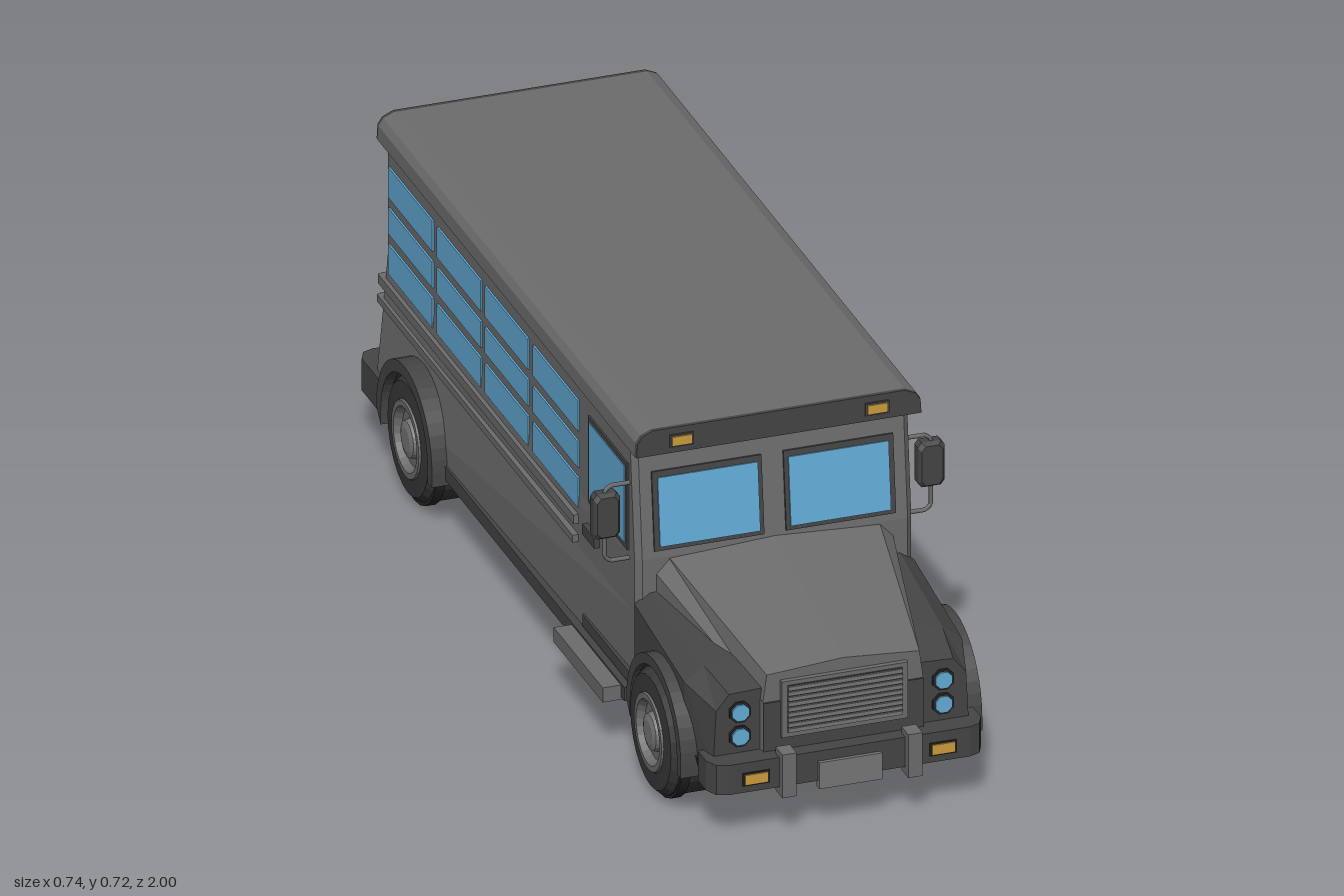
import * as THREE from 'three';

const mat = (name, color) => {
  const m = new THREE.MeshStandardMaterial({ color });
  m.name = name;
  return m;
};

export function createModel() {
  const body = mat('body grey', 0x6c6c6c), dark = mat('dark trim', 0x454545);
  const black = mat('underbody black', 0x262626), tyreMat = mat('tyre', 0x393939);
  const glass = mat('window blue', 0x62acd6), amber = mat('amber', 0xcc9d3c);
  const red = mat('red lens', 0xb01c24), metal = mat('light metal', 0x777777);
  const root = new THREE.Group();

  const add = (name, geo, material, parent = root) => {
    const m = new THREE.Mesh(geo, material);
    m.name = name;
    parent.add(m);
    return m;
  };
  const box = (name, material, w, h, d, x, y, z, parent = root) => {
    const m = add(name, new THREE.BoxGeometry(w, h, d), material, parent);
    m.position.set(x, y, z);
    return m;
  };
  // Box given by its limits on each axis
  const span = (name, material, x0, x1, y0, y1, z0, z1, parent = root) =>
    box(name, material, Math.abs(x1 - x0), y1 - y0, Math.abs(z1 - z0), (x0 + x1) / 2, (y0 + y1) / 2, (z0 + z1) / 2, parent);

  // Flat-faced skin over convex rings, always wound outwards
  const loft = (rings) => {
    const tris = [], n = rings[0].length;
    for (let k = 0; k < rings.length - 1; k++) {
      const a = rings[k], b = rings[k + 1];
      for (let i = 0; i < n; i++) {
        const j = (i + 1) % n;
        tris.push([a[i], a[j], b[j]], [a[i], b[j], b[i]]);
      }
    }
    const first = rings[0], last = rings[rings.length - 1];
    for (let i = 1; i < n - 1; i++) tris.push([first[0], first[i + 1], first[i]], [last[0], last[i], last[i + 1]]);
    const v = (p) => new THREE.Vector3(...p);
    const centre = v(first[0]);
    let volume = 0;
    for (const [p, q, r] of tris) volume += v(p).sub(centre).dot(v(q).sub(centre).cross(v(r).sub(centre)));
    const pos = tris.flatMap(([p, q, r]) => (volume < 0 ? [p, r, q] : [p, q, r])).flat();
    const g = new THREE.BufferGeometry();
    g.setAttribute('position', new THREE.Float32BufferAttribute(pos, 3));
    g.computeVertexNormals();
    return g;
  };
  const alongZ = (pts, z) => pts.map(([x, y]) => [x, y, z]);
  const mirrored = (half) => [...half, ...half.filter((p) => p[0] > 0).reverse().map(([x, y]) => [-x, y])];

  // Main body with bevelled corners, flaring towards the lower rear
  const plan = (y, front, rear, wf, wr, c = 0.012) => [
    [-wf + c, y, front], [wf - c, y, front], [wf, y, front - c], [wr, y, rear + c],
    [wr - c, y, rear], [-wr + c, y, rear], [-wr, y, rear + c], [-wf, y, front - c]];
  add('body', loft([
    plan(0.14, 0.55, -0.905, 0.29, 0.315), plan(0.3, 0.55, -0.905, 0.29, 0.3),
    plan(0.42, 0.55, -0.905, 0.29, 0.29), plan(0.66, 0.525, -0.905, 0.29, 0.29)]), body);
  add('underbody', loft([
    plan(0.1, 0.9, -0.9, 0.275, 0.3), plan(0.145, 0.9, -0.9, 0.285, 0.312)]), black);

  // Roof and its dark end caps
  const roofHalf = [[0.3, 0.66], [0.298, 0.69], [0.288, 0.705], [0.265, 0.715]];
  const roofRing = mirrored(roofHalf);
  add('roof', loft([alongZ(roofRing, -0.925), alongZ(roofRing, 0.565)]), body);
  for (const s of [1, -1]) {
    const z = s > 0 ? 0.565 : -0.925;
    add('roofEndCap', loft([alongZ(roofRing, z), alongZ(roofRing.map(([x, y]) => [x * 0.995, y]), z + s * 0.009)]), dark);
    for (const t of [1, -1]) {
      box('roofMarkerFrame', dark, 0.05, 0.027, 0.006, t * 0.205, 0.687, z + s * 0.01);
      box('roofMarker', amber, 0.042, 0.02, 0.008, t * 0.205, 0.687, z + s * 0.012);
    }
  }

  // Windscreen panes on the raked front
  const screen = new THREE.Group();
  screen.name = 'windscreen';
  screen.position.set(0, 0.52, 0.5396);
  screen.rotation.x = -0.104;
  root.add(screen);
  for (const s of [1, -1]) {
    box('windscreenFrame', dark, 0.23, 0.168, 0.008, s * 0.138, 0, 0.001, screen);
    box('windscreenPane', glass, 0.21, 0.146, 0.008, s * 0.137, -0.002, 0.004, screen);
  }

  // Hood, lower nose and grille
  add('hood', loft([
    alongZ(mirrored([[0.25, 0.15], [0.25, 0.388], [0.222, 0.418], [0, 0.43]]), 0.54),
    alongZ(mirrored([[0.168, 0.15], [0.168, 0.275], [0.16, 0.333], [0, 0.345]]), 0.945)]), body);
  span('nosePanel', dark, -0.168, 0.168, 0.14, 0.273, 0.94, 0.949);
  span('grilleFrame', body, -0.132, 0.132, 0.195, 0.318, 0.94, 0.956);
  span('grilleBack', dark, -0.12, 0.12, 0.205, 0.309, 0.95, 0.958);
  for (let i = 0; i < 9; i++) box('grilleSlat', metal, 0.24, 0.0085, 0.008, 0, 0.211 + i * 0.0115, 0.958);

  // Bumpers with angled corners
  const bumper = (name, w, c, zIn, zOut, y0, y1) => {
    const zc = zOut - Math.sign(zOut) * c;
    const ring = (y) => [[-w, y, zIn], [-w, y, zc], [-w + c * 0.35, y, zc + (zOut - zc) * 0.75], [-w + c, y, zOut],
      [w - c, y, zOut], [w - c * 0.35, y, zc + (zOut - zc) * 0.75], [w, y, zc], [w, y, zIn]];
    add(name, loft([ring(y0), ring(y1)]), dark);
  };
  bumper('frontBumper', 0.288, 0.035, 0.9, 0.982, 0.102, 0.167);
  bumper('rearBumper', 0.325, 0.035, -0.83, -0.982, 0.102, 0.172);
  for (const s of [1, -1]) {
    const guardX = s > 0 ? 0.132 : 0.185, lampX = s > 0 ? 0.196 : 0.25;
    span('numberPlate', metal, -0.066, 0.066, 0.087, 0.145, s * 0.975, s * 0.99);
    for (const t of [1, -1]) {
      box('bumperGuard', body, 0.03, 0.095, 0.04, t * guardX, 0.133, s * 0.98);
      box('bumperLampFrame', black, 0.056, 0.028, 0.006, t * lampX, 0.131, s * 0.982);
      box('bumperLamp', amber, 0.048, 0.022, 0.008, t * lampX, 0.131, s * 0.984);
    }
  }

  // Wheel: bevelled tyre, dished rim and hub
  const wheel = (s, x, z) => {
    const g = new THREE.Group();
    g.name = 'wheel';
    g.position.set(s * x, 0.13, z);
    g.rotation.z = -s * Math.PI / 2;
    root.add(g);
    const lathe = (name, pts, m) =>
      add(name, new THREE.LatheGeometry(pts.map((p) => new THREE.Vector2(...p)), 24).toNonIndexed(), m, g).geometry.computeVertexNormals();
    lathe('tyre', [[0, -0.062], [0.115, -0.062], [0.13, -0.05], [0.13, 0.045], [0.118, 0.06], [0.082, 0.062], [0.075, 0.045], [0, 0.045]], tyreMat);
    lathe('rim', [[0.082, 0.06], [0.08, 0.066], [0.068, 0.066], [0.06, 0.05], [0, 0.05]], body);
    lathe('hub', [[0.042, 0.045], [0.038, 0.062], [0.025, 0.066], [0, 0.066]], metal);
  };
  // Arch band with short legs
  const arch = (s, x0, x1, z, r, inner) => {
    const sh = new THREE.Shape();
    sh.moveTo(r, -0.03);
    sh.absarc(0, 0, r, 0, Math.PI, false);
    sh.lineTo(-r, -0.03);
    sh.lineTo(-inner, -0.03);
    sh.absarc(0, 0, inner, Math.PI, 0, true);
    sh.lineTo(inner, -0.03);
    const geo = new THREE.ExtrudeGeometry(sh, { depth: x1 - x0, bevelEnabled: false, curveSegments: 10 });
    geo.rotateY(Math.PI / 2);
    geo.translate(s > 0 ? x0 : -x1, 0.13, z);
    add('wheelArch', geo, dark);
    const well = add('wheelWell', new THREE.CylinderGeometry(inner, inner, 0.02, 24), black);
    well.rotation.z = Math.PI / 2;
    well.position.set(s * (x0 + 0.024), 0.13, z);
  };

  for (const s of [1, -1]) {
    wheel(s, 0.262, 0.72);
    wheel(s, 0.272, -0.66);
    arch(s, 0.27, 0.316, 0.72, 0.158, 0.136);
    arch(s, 0.285, 0.34, -0.66, 0.162, 0.136);

    // Front fender and headlamps
    const fender = (pts, z) => alongZ(pts.map(([x, y]) => [s * x, y]), z);
    add('fender', loft([
      fender([[0.17, 0.145], [0.17, 0.352], [0.262, 0.347], [0.293, 0.325], [0.293, 0.145]], 0.545),
      fender([[0.15, 0.145], [0.15, 0.322], [0.25, 0.316], [0.291, 0.285], [0.291, 0.145]], 0.83),
      fender([[0.14, 0.145], [0.14, 0.302], [0.235, 0.298], [0.262, 0.265], [0.268, 0.145]], 0.934)]), dark);
    for (const y of [0.257, 0.204]) {
      const lamp = (name, m, r, z) => {
        const l = add(name, new THREE.CylinderGeometry(r, r, 0.014, 8), m);
        l.rotation.set(Math.PI / 2, Math.PI / 8, 0);
        l.position.set(s * 0.213, y, z);
      };
      lamp('headlampRim', black, 0.024, 0.932);
      lamp('headlamp', glass, 0.019, 0.936);
    }

    // Side windows: cab window, then four bays of three panes
    const rows = [[0.385, 0.45], [0.473, 0.53], [0.553, 0.62]];
    span('cabWindowFrame', dark, s * 0.287, s * 0.294, 0.425, 0.615, 0.278, 0.505);
    span('cabWindow', glass, s * 0.288, s * 0.296, 0.437, 0.605, 0.288, 0.493);
    for (const [z0, z1] of [[0.22, -0.042], [-0.07, -0.32], [-0.345, -0.598], [-0.624, -0.88]])
      for (const [y0, y1] of rows) span('sidePane', glass, s * 0.288, s * 0.294, y0, y1, z0, z1);
    for (const [y0, y1] of rows) span('rearPane', glass, s * 0.012, s * 0.27, y0, y1, -0.9, -0.909);

    // Rub rails, handle, sill and step
    span('upperRail', body, s * 0.28, s * 0.303, 0.35, 0.37, 0.22, -0.915);
    span('lowerRail', body, s * 0.28, s * 0.305, 0.31, 0.326, 0.22, -0.915);
    span('doorHandle', dark, s * 0.28, s * 0.303, 0.352, 0.375, 0.27, 0.34);
    span('sill', dark, s * 0.28, s * 0.312, 0.112, 0.142, -0.5, 0.54);
    span('doorTrim', dark, s * 0.28, s * 0.299, 0.145, 0.17, 0.26, 0.54);
    span('step', body, s * 0.28, s * 0.35, 0.106, 0.138, 0.235, 0.52);

    // Tail lamps
    span('tailLampBase', dark, s * 0.142, s * 0.278, 0.23, 0.282, -0.9, -0.909);
    span('tailLamp', red, s * 0.15, s * 0.235, 0.237, 0.275, -0.9, -0.918);
    span('turnLamp', amber, s * 0.235, s * 0.272, 0.237, 0.275, -0.9, -0.918);

    // Mirror on a bent tube bracket
    const bend = new THREE.CurvePath();
    const pts = [[0.28, 0.575], [0.33, 0.575], [0.342, 0.565], [0.342, 0.42], [0.33, 0.41], [0.28, 0.41]]
      .map(([x, y]) => new THREE.Vector3(s * x, y, 0.508));
    for (let i = 0; i < pts.length - 1; i++) bend.add(new THREE.LineCurve3(pts[i], pts[i + 1]));
    add('mirrorBracket', new THREE.TubeGeometry(bend, 40, 0.0045, 6), body);
    const shell = (w, h, z) => [[-w, -h + 0.01], [-w + 0.008, -h], [w - 0.008, -h], [w, -h + 0.01],
      [w, h - 0.01], [w - 0.008, h], [-w + 0.008, h], [-w, h - 0.01]].map(([x, y]) => [s * 0.34 + x, 0.513 + y, z]);
    add('mirror', loft([shell(0.028, 0.049, 0.495), shell(0.028, 0.049, 0.515), shell(0.022, 0.043, 0.524)]), dark);
    box('mirrorGlass', glass, 0.046, 0.084, 0.006, s * 0.34, 0.513, 0.494);
  }
  // Rails across the back
  span('rearUpperRail', body, -0.295, 0.295, 0.35, 0.37, -0.9, -0.918);
  span('rearLowerRail', body, -0.297, 0.297, 0.31, 0.326, -0.9, -0.918);
  return root;
}
